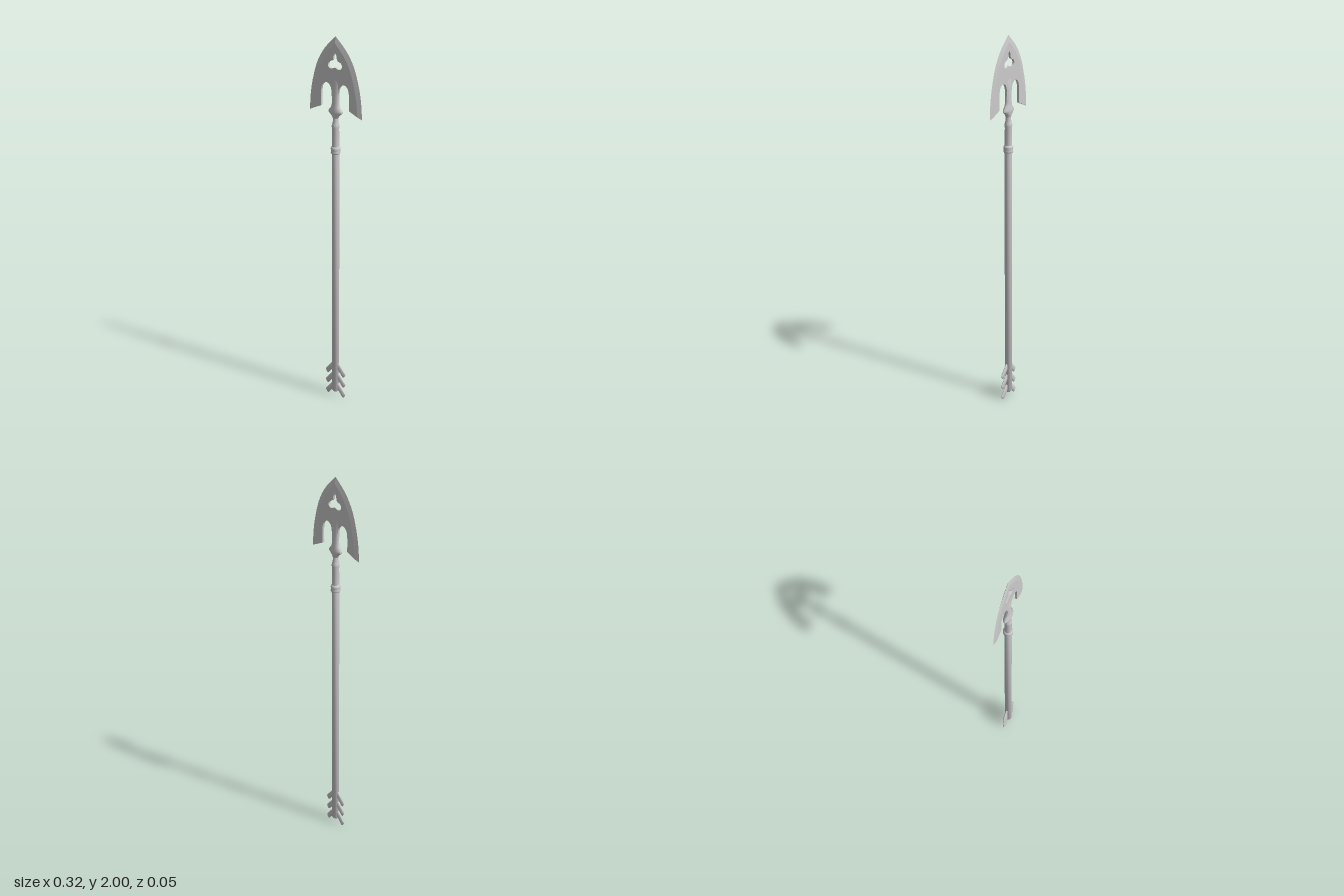
import * as THREE from 'three';
import { toCreasedNormals } from 'three/addons/utils/BufferGeometryUtils.js';

const material = new THREE.MeshStandardMaterial({ color: 0xcccccc });
const V = (x, y) => new THREE.Vector2(x, y);
const spline = (pts, n) => new THREE.SplineCurve(pts.map(p => V(...p))).getPoints(n);
const mirror = pts => pts.map(p => V(-p.x, p.y)).reverse();

// Creasing runs on an enlarged copy, because it merges points closer than 0.01
function add(parent, name, geometry, crease = 0.7) {
  const creased = toCreasedNormals(geometry.scale(100, 100, 100), crease).scale(0.01, 0.01, 0.01);
  const mesh = new THREE.Mesh(creased, material);
  mesh.name = name;
  parent.add(mesh);
  return mesh;
}

function lathe(profile) {
  return new THREE.LatheGeometry(profile.map(p => V(...p)), 20);
}

// Surface through equal-length rings of [x, y, z] points, each ring closed
function loft(rings) {
  const n = rings[0].length, index = [];
  for (let i = 0; i < rings.length - 1; i++) {
    for (let j = 0; j < n; j++) {
      const a = i * n + j, b = i * n + (j + 1) % n;
      index.push(a, a + n, b, b, a + n, b + n);
    }
  }
  // Flat caps on the first and last ring
  const last = (rings.length - 1) * n;
  for (let j = 1; j < n - 1; j++) {
    index.push(0, j, j + 1, last, last + j + 1, last + j);
  }
  const g = new THREE.BufferGeometry();
  g.setAttribute('position', new THREE.Float32BufferAttribute(rings.flat(2), 3));
  g.setIndex(index);
  return g;
}

function buildBlade() {
  const blade = new THREE.Group();
  blade.name = 'blade';
  const half = 0.006, steps = 16;
  const outer = spline([[0, 2], [0.065, 1.935], [0.11, 1.862], [0.138, 1.775], [0.154, 1.69], [0.16, 1.604]], steps);
  const inner = spline([[0, 1.966], [0.048, 1.914], [0.088, 1.848], [0.114, 1.765], [0.129, 1.69], [0.136, 1.616]], steps);

  // Half of the flat plate: edge, arched notch, centre line and half of the trefoil opening
  const notch = spline([[0.085, 1.639], [0.086, 1.70], [0.08, 1.743], [0.062, 1.763], [0.04, 1.761],
    [0.025, 1.742], [0.02, 1.71], [0.018, 1.66]], 20);
  const trefoil = spline([[0, 1.846], [0.018, 1.838], [0.034, 1.84], [0.043, 1.855], [0.036, 1.871],
    [0.019, 1.878], [0.012, 1.887], [0.009, 1.905], [0, 1.921]], 20);
  const outline = [...inner, ...notch, V(0, 1.66), ...trefoil];
  for (const [name, points] of [['leftPlate', outline], ['rightPlate', mirror(outline)]]) {
    const g = new THREE.ExtrudeGeometry(new THREE.Shape(points), { depth: half * 2, bevelEnabled: false });
    add(blade, name, g.translate(0, 0, -half));
  }

  // Sharpened edge: triangular section running over the tip
  const o = [...mirror(outer), ...outer.slice(1)];
  const q = [...mirror(inner), ...inner.slice(1)];
  const rings = o.map((p, i) => [[p.x, p.y, 0], [q[i].x, q[i].y, -half], [q[i].x, q[i].y, half]]);
  add(blade, 'cuttingEdge', loft(rings), 0.3);
  return blade;
}

// Flattened neck between the socket and the blade: y, half width, half depth
function buildNeck() {
  const sections = [
    [1.585, 0.014, 0.014], [1.597, 0.019, 0.016], [1.616, 0.042, 0.018], [1.624, 0.042, 0.018],
    [1.643, 0.026, 0.015], [1.66, 0.021, 0.014], [1.69, 0.02, 0.013], [1.73, 0.022, 0.011],
    [1.765, 0.026, 0.008], [1.80, 0.018, 0.004],
  ];
  return loft(sections.map(([y, rx, rz]) => Array.from({ length: 16 }, (_, j) => {
    const a = j / 16 * Math.PI * 2;
    return [rx * Math.cos(a), y, rz * Math.sin(a)];
  })));
}

// Slanted barb with chamfered edges
function buildBarb() {
  const s = new THREE.Shape([V(0.01, 0.205), V(0.021, 0.198), V(0.063, 0.146), V(0.062, 0.139),
    V(0.053, 0.126), V(0.047, 0.127), V(0.016, 0.164), V(0.01, 0.167)]);
  const g = new THREE.ExtrudeGeometry(s, {
    depth: 0.004, bevelThickness: 0.004, bevelSize: 0.005, bevelOffset: -0.004, bevelSegments: 1,
  });
  return g.translate(0, 0, -0.002);
}

export function createModel() {
  const model = new THREE.Group();
  model.name = 'arrow';

  add(model, 'shaft', lathe([[0, 0.026], [0.014, 0.027], [0.019, 0.034], [0.019, 1.405]]));

  // Socket with a ring at its foot and a stepped top
  add(model, 'socket', lathe([
    [0.018, 1.398], [0.022, 1.399], [0.025, 1.405], [0.0235, 1.412], [0.0235, 1.42], [0.025, 1.427],
    [0.023, 1.434], [0.019, 1.438], [0.018, 1.53], [0.0195, 1.54], [0.0195, 1.547], [0.017, 1.556],
    [0.014, 1.57], [0.014, 1.6], [0, 1.6],
  ]));

  add(model, 'neck', buildNeck());
  model.add(buildBlade());

  // Three pairs of barbs at the tail, mirrored by a half turn
  for (let i = 0; i < 3; i++) {
    for (const turn of [0, Math.PI]) {
      const barb = add(model, turn ? 'rightBarb' : 'leftBarb', buildBarb());
      barb.position.y = -0.0625 * i;
      barb.rotation.y = turn;
    }
  }
  return model;
}
